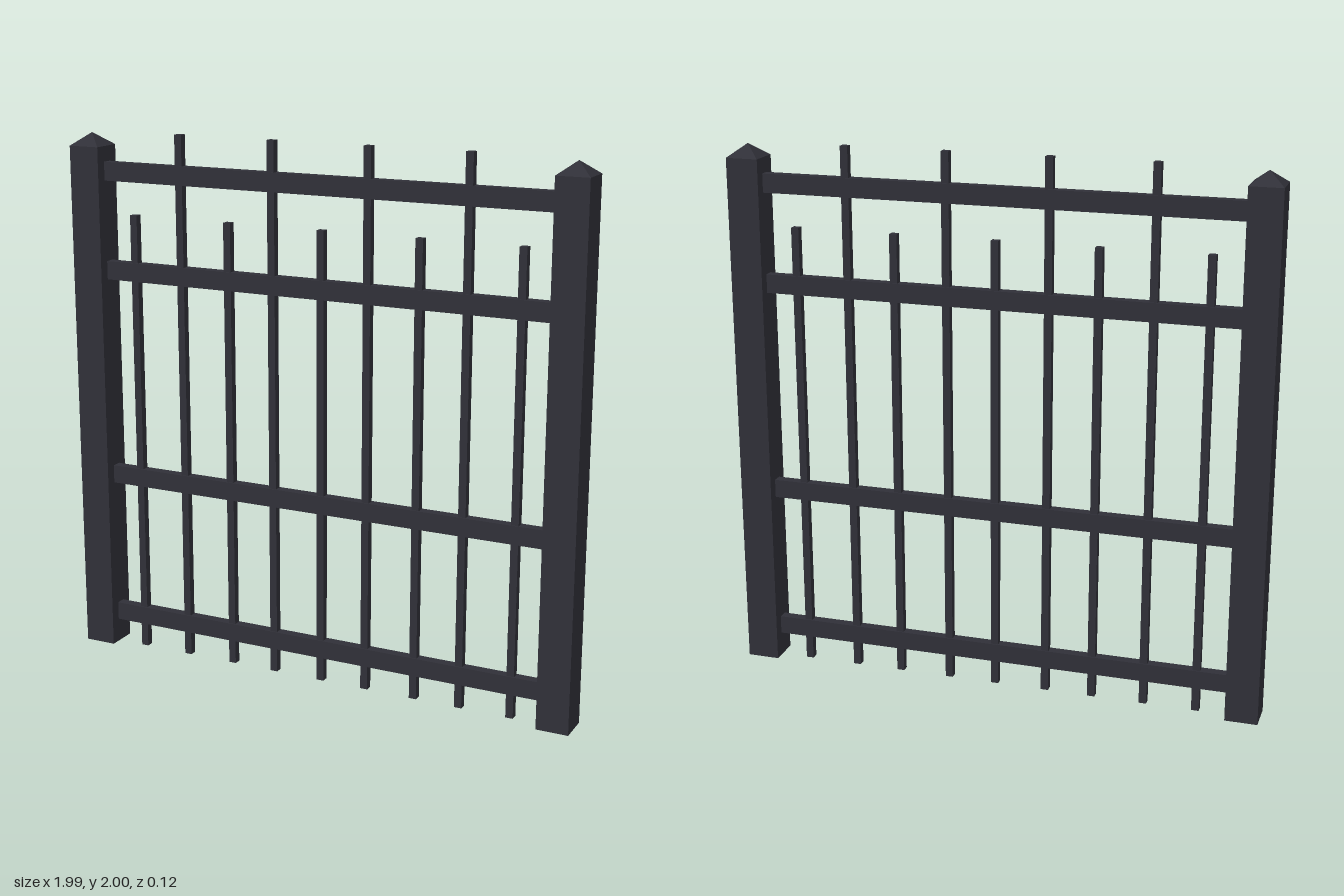
import * as THREE from 'three';

export function createModel() {
  const model = new THREE.Group();
  const iron = new THREE.MeshStandardMaterial({ color: 0x303038 });
  iron.name = 'dark iron';

  // Adds a box standing on the given base height
  const addBox = (name, width, height, depth, x, base) => {
    const mesh = new THREE.Mesh(new THREE.BoxGeometry(width, height, depth), iron);
    mesh.name = name;
    mesh.position.set(x, base + height / 2, 0);
    model.add(mesh);
  };

  // Square posts with low pyramid caps
  const postWidth = 0.12, postHeight = 1.944, capHeight = 0.047;
  for (const side of [-1, 1]) {
    const label = side < 0 ? 'right' : 'left';
    const x = side * 0.935;
    addBox(label + 'Post', postWidth, postHeight, postWidth, x, 0);

    const capGeometry = new THREE.ConeGeometry(postWidth / Math.SQRT2, capHeight, 4, 1, true)
      .rotateY(Math.PI / 4)
      .toNonIndexed();
    capGeometry.computeVertexNormals();
    const cap = new THREE.Mesh(capGeometry, iron);
    cap.name = label + 'PostCap';
    cap.position.set(x, postHeight + capHeight / 2, 0);
    model.add(cap);
  }

  // Horizontal rails between the posts
  [0.091, 0.654, 1.449, 1.818].forEach((base, i) =>
    addBox('rail' + (i + 1), 1.75, 0.069, 0.037, 0, base));

  // Tall and short pickets alternate
  [-0.562, -0.187, 0.188, 0.562].forEach((x, i) =>
    addBox('tallPicket' + (i + 1), 0.028, 2, 0.028, x, 0));
  [-0.758, -0.366, 0.008, 0.384, 0.759].forEach((x, i) =>
    addBox('shortPicket' + (i + 1), 0.028, 1.696, 0.028, x, 0));

  return model;
}
